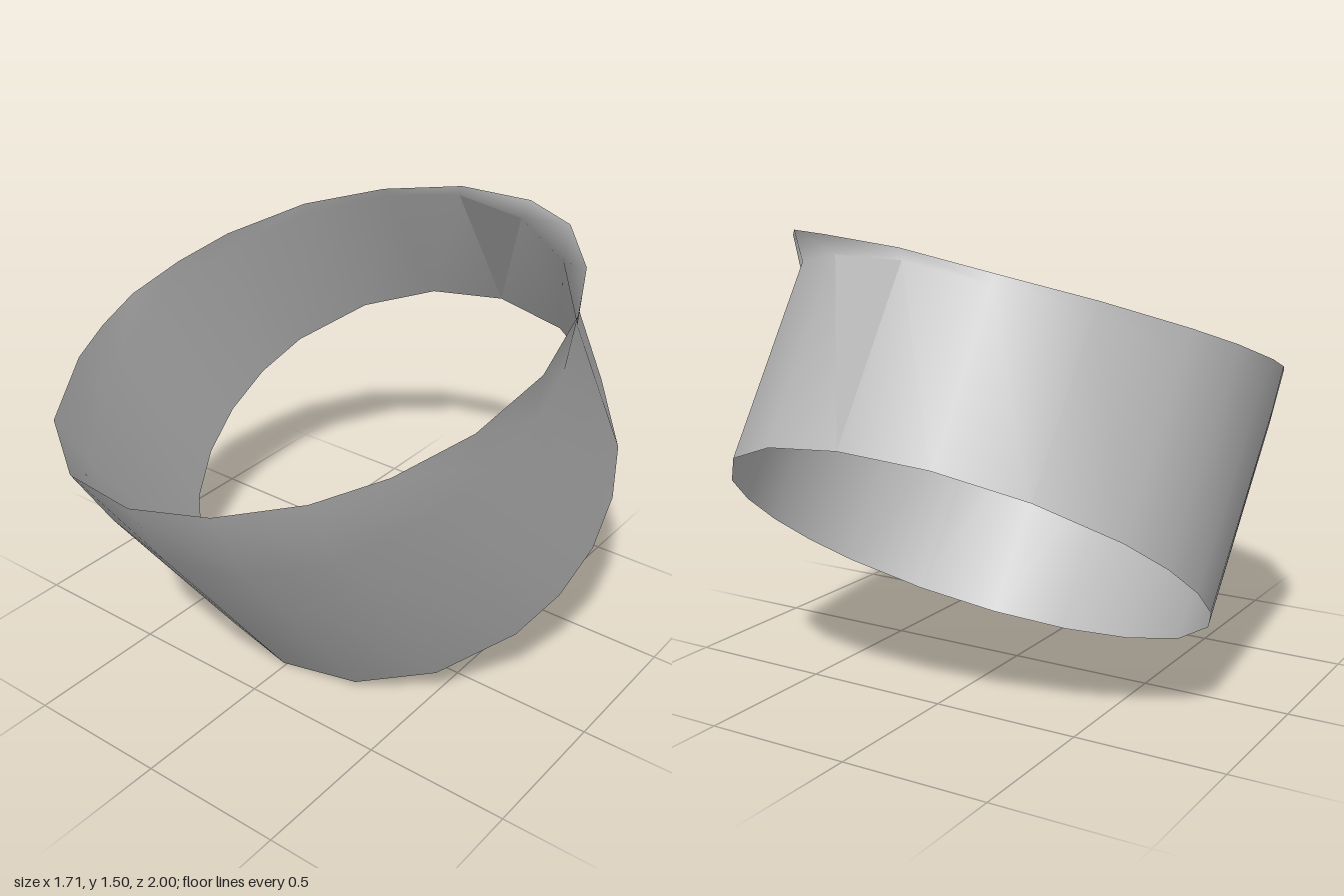
import * as THREE from 'three';

// Tilted circular base: centre, axis, and the direction of its lowest (front) point
const TILT = 0.612, BASE_RADIUS = 0.812, NECK_RADIUS = 0.835;
const CENTRE = new THREE.Vector3(-0.012, 0.467, -0.335);
const AXIS = new THREE.Vector3(0, Math.cos(TILT), Math.sin(TILT));
const FRONT = new THREE.Vector3(0, -Math.sin(TILT), Math.cos(TILT));

// Ring stations in degrees, from the front round through +x
const half = [0, 20.5, 41, 62, 76, 90, 104, 118, 139, 159.5];
const ANGLES = [...half, ...half.map((a) => a + 180)];
ANGLES.forEach((a, i) => { if (i > 10) ANGLES[i] = 360 - ANGLES[20 - i]; });

// Slanted upper rim, one point per station
const RIM = [
  [0, 0.975, 1.0], [0.28, 1.03, 0.955], [0.52, 1.10, 0.825], [0.68, 1.17, 0.67], [0.80, 1.25, 0.45],
  [0.85, 1.34, 0.19], [0.81, 1.42, -0.06], [0.70, 1.465, -0.30], [0.52, 1.50, -0.51], [0.30, 1.50, -0.63],
  [0, 1.475, -0.67], [-0.31, 1.41, -0.63], [-0.57, 1.335, -0.495], [-0.75, 1.245, -0.27], [-0.82, 1.18, -0.08],
  [-0.86, 1.11, 0.12], [-0.83, 1.06, 0.30], [-0.77, 1.02, 0.47], [-0.58, 0.965, 0.76], [-0.31, 0.945, 0.94],
].map((p) => new THREE.Vector3(...p));

// Point on the tilted cylinder
function onCylinder(degrees, radius, height) {
  const a = THREE.MathUtils.degToRad(degrees);
  const p = CENTRE.clone().addScaledVector(AXIS, height).addScaledVector(FRONT, radius * Math.cos(a));
  p.x += radius * Math.sin(a);
  return p;
}

export function createModel() {
  const group = new THREE.Group();
  group.name = 'tiltedSleeve';
  const grey = new THREE.MeshStandardMaterial({ color: 0xb8b8b8, side: THREE.DoubleSide });
  grey.name = 'grey';

  const base = ANGLES.map((a) => onCylinder(a, BASE_RADIUS, 0));
  // The neck is where the cylinder bends into the flared rim
  const neck = ANGLES.map((a, i) => {
    const rimHeight = RIM[i].clone().sub(CENTRE).dot(AXIS);
    return onCylinder(a, NECK_RADIUS, rimHeight * (0.85 - 0.1 * Math.cos(THREE.MathUtils.degToRad(a))));
  });

  const points = [...base, ...neck, ...RIM];
  const n = ANGLES.length, wall = [], crease = [];
  for (let ring = 0; ring < 2; ring++) {
    for (let i = 0; i < n; i++) {
      const j = (i + 1) % n;
      const a = ring * n + i, b = ring * n + j, c = b + n, d = a + n;
      wall.push(a, b, d);
      // One creased triangle on the back wall is kept apart
      (ring === 0 && i === 9 ? crease : wall).push(b, c, d);
    }
  }

  const addMesh = (name, vertices, index) => {
    const geometry = new THREE.BufferGeometry().setFromPoints(vertices);
    if (index) geometry.setIndex(index);
    geometry.computeVertexNormals();
    const mesh = new THREE.Mesh(geometry, grey);
    mesh.name = name;
    group.add(mesh);
  };
  addMesh('sleeveWall', points, wall);
  addMesh('creasedPanel', crease.map((i) => points[i]));
  return group;
}
